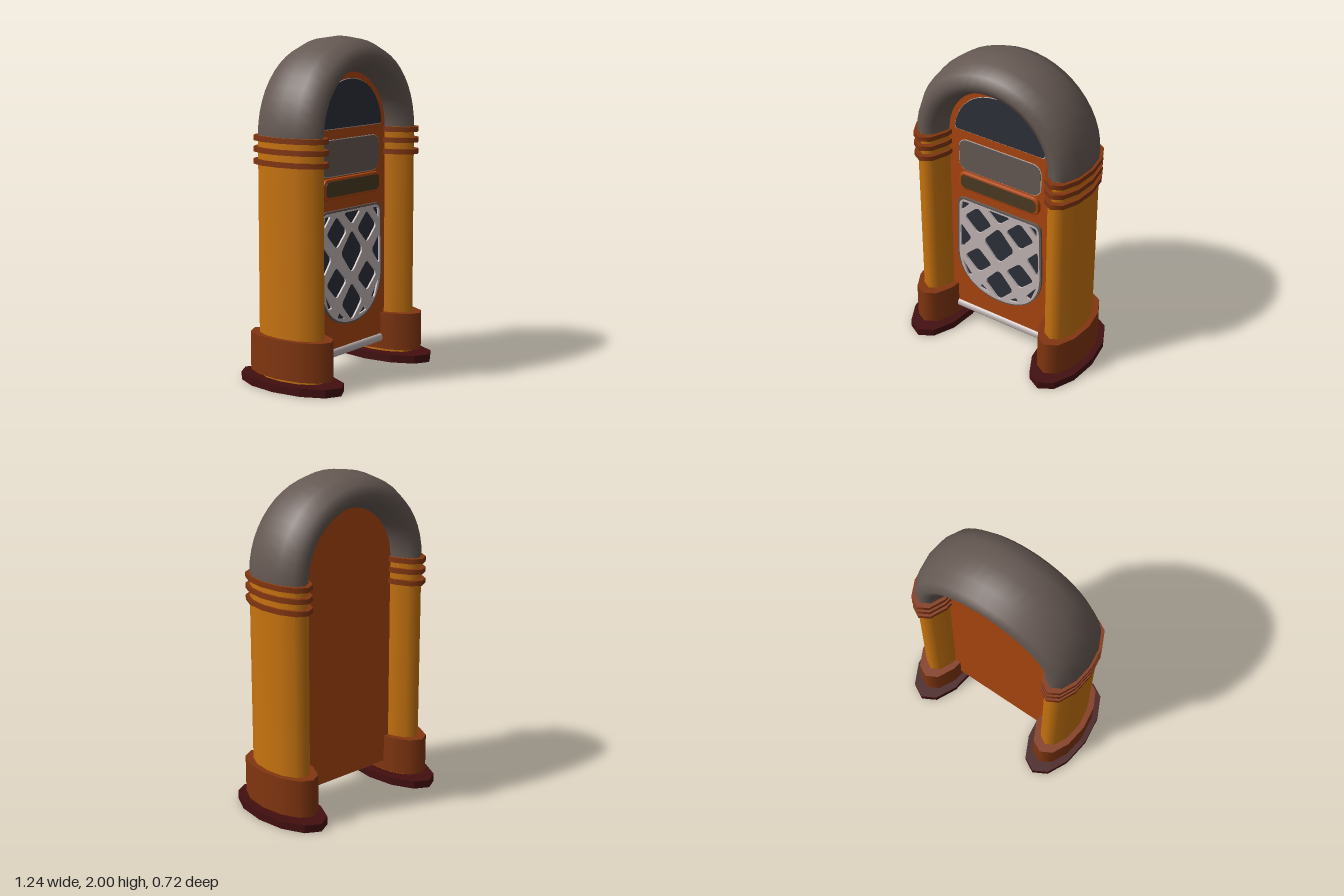
import * as THREE from 'three';
import { RoundedBoxGeometry } from 'three/addons/geometries/RoundedBoxGeometry.js';

const COL_X = 0.445, RX = 0.108, RZ = 0.227, SPRING = 1.45, FRONT = 0.085;

const mat = (name, color, side = THREE.FrontSide) => {
  const m = new THREE.MeshStandardMaterial({ color, side });
  m.name = name;
  return m;
};

function roundedRect(w, y0, y1, r) {
  const s = new THREE.Shape();
  s.moveTo(-w + r, y0);
  s.lineTo(w - r, y0);
  s.absarc(w - r, y0 + r, r, -Math.PI / 2, 0);
  s.absarc(w - r, y1 - r, r, 0, Math.PI / 2);
  s.absarc(-w + r, y1 - r, r, Math.PI / 2, Math.PI);
  s.absarc(-w + r, y0 + r, r, Math.PI, Math.PI * 1.5);
  return s;
}

// Half-round window, grown outward by g
function halfRound(g) {
  const s = new THREE.Shape(), w = 0.303 + g, y = 1.475 - g;
  s.moveTo(-w + 0.02, y);
  s.lineTo(w - 0.02, y);
  s.quadraticCurveTo(w, y, w, y + 0.025);
  s.bezierCurveTo(w - 0.03, 1.66, 0.16, 1.755 + g, 0, 1.755 + g);
  s.bezierCurveTo(-0.16, 1.755 + g, -w + 0.03, 1.66, -w, y + 0.025);
  s.quadraticCurveTo(-w, y, -w + 0.02, y);
  return s;
}

// Speaker outline: square shoulders, rounded bottom, shrunk inward by g
function shield(g, Type = THREE.Shape) {
  const s = new Type(), w = 0.302 - g, t = 0.997 - g, b = 0.298 + g, k = 0.05;
  s.moveTo(0, b);
  s.bezierCurveTo(0.17, b, w, 0.41, w, 0.6);
  s.lineTo(w - 0.01, t - k);
  s.quadraticCurveTo(w - 0.01, t, w - 0.01 - k, t);
  s.lineTo(-w + 0.01 + k, t);
  s.quadraticCurveTo(-w + 0.01, t, -w + 0.01, t - k);
  s.lineTo(-w, 0.6);
  s.bezierCurveTo(-w, 0.41, -0.17, b, 0, b);
  return s;
}

// Closed outline with softened corners
function softHole(pts, k = 0.22) {
  const v = pts.map(([x, y]) => new THREE.Vector2(x, y));
  const h = new THREE.Path(), n = v.length;
  v.forEach((p, i) => {
    const a = p.clone().lerp(v[(i + n - 1) % n], k), b = p.clone().lerp(v[(i + 1) % n], k);
    if (i) h.lineTo(a.x, a.y); else h.moveTo(a.x, a.y);
    h.quadraticCurveTo(p.x, p.y, b.x, b.y);
  });
  h.closePath();
  return h;
}

function ellipsePoints(rx, rz) {
  return Array.from({ length: 12 }, (_, i) => {
    const a = i * Math.PI / 6;
    return new THREE.Vector2(Math.cos(a) * rx, Math.sin(a) * rz);
  });
}

const extrude = (shape, depth, z, bevel = 0) => new THREE.ExtrudeGeometry(shape, {
  depth, curveSegments: 12, bevelEnabled: bevel > 0, bevelSize: bevel,
  bevelThickness: bevel, bevelOffset: -bevel, bevelSegments: 2,
}).translate(0, 0, z);

export function createModel() {
  const root = new THREE.Group();
  root.name = 'jukebox';
  const gold = mat('amber', 0xc8740f, THREE.DoubleSide);
  const rust = mat('rust brown', 0x823610);
  const orange = mat('burnt orange', 0xab4610);
  const maroon = mat('dark maroon', 0x430f10);
  const grey = mat('warm grey', 0x665953);
  const silver = mat('pale silver', 0xc2b6b6);
  const glass = mat('dark glass', 0x2d3039);
  const olive = mat('olive brown', 0x4a3b22);

  const add = (name, geo, material, parent = root) => {
    const m = new THREE.Mesh(geo, material);
    m.name = name;
    parent.add(m);
    return m;
  };

  // Oval column part between two heights
  const oval = (rx, rz, y0, y1, open = false) =>
    new THREE.CylinderGeometry(1, 1, y1 - y0, 12, 1, open)
      .scale(rx, 1, rz).translate(0, (y0 + y1) / 2, 0);

  // Columns with feet, base rings and collars
  for (const [side, sx] of [['left', 1], ['right', -1]]) {
    const g = new THREE.Group();
    g.name = side + 'Column';
    g.position.x = sx * COL_X;
    root.add(g);
    add('pillar', oval(RX, RZ, 0.02, SPRING, true), gold, g);

    const ring = new THREE.Shape(ellipsePoints(0.175, 0.36));
    ring.holes.push(new THREE.Path(ellipsePoints(RX, RZ).reverse()));
    add('basePlate', extrude(ring, 0.048, 0).rotateX(-Math.PI / 2), maroon, g);

    const foot = new THREE.Shape(ellipsePoints(0.143, 0.288));
    foot.holes.push(new THREE.Path(ellipsePoints(RX - 0.002, RZ - 0.004).reverse()));
    add('footCap', extrude(foot, 0.228, 0.071).rotateX(-Math.PI / 2), rust, g);
    add('footSleeve', oval(0.1435, 0.289, 0.07, 0.3, true), rust, g);
    add('innerFloor', oval(RX - 0.002, RZ - 0.004, 0.175, 0.185), orange, g);

    [1.3, 1.37, 1.435].forEach((y) =>
      add('collar', oval(0.123, 0.26, y - 0.016, y + 0.014), rust, g));
  }

  // Rounded top arch
  add('topArch', new THREE.TorusGeometry(COL_X, RX, 12, 24, Math.PI)
    .scale(1, 1, RZ / RX).translate(0, SPRING, 0), grey);

  // Cabinet body with arched top
  const body = new THREE.Shape();
  body.moveTo(-0.35, 0.13);
  body.lineTo(0.35, 0.13);
  body.lineTo(0.35, SPRING);
  body.absarc(0, SPRING, 0.35, 0, Math.PI);
  add('cabinet', extrude(body, FRONT * 2, -FRONT), orange);

  // Bottom rail
  add('bottomRail', new RoundedBoxGeometry(0.88, 0.055, 0.18, 3, 0.025)
    .translate(0, 0.142, 0.01), silver);

  // Upper window and display, each with a fine trim
  add('windowTrim', extrude(halfRound(0.004), 0.003, FRONT), silver);
  add('window', extrude(halfRound(0), 0.006, FRONT), glass);
  add('displayTrim', extrude(roundedRect(0.283, 1.195, 1.412, 0.06), 0.003, FRONT), silver);
  add('display', extrude(roundedRect(0.279, 1.199, 1.408, 0.057), 0.006, FRONT), grey);

  // Selector slot in a raised frame
  add('slotFrame', extrude(roundedRect(0.278, 1.065, 1.188, 0.045), 0.012, FRONT, 0.01), orange);
  add('slot', extrude(roundedRect(0.258, 1.082, 1.172, 0.03), 0.004, FRONT + 0.021), olive);

  // Speaker: rim, dark backing and lattice
  const rim = shield(0);
  rim.holes.push(shield(0.014, THREE.Path));
  add('speakerRim', extrude(rim, 0.014, FRONT), grey);
  add('speakerBacking', extrude(shield(0.006), 0.004, FRONT), glass);

  const lattice = shield(0.012);
  const diamond = (x, y, w, h) => [[x, y - h], [x + w, y], [x, y + h], [x - w, y]];
  const holes = [
    diamond(0, 0.735, 0.112, 0.135),
    [[0, 0.312], [0.105, 0.425], [0, 0.55], [-0.105, 0.425]],
    [[-0.085, 0.975], [0, 0.895], [0.085, 0.975]],
  ];
  for (const s of [-1, 1]) {
    holes.push(
      diamond(s * 0.148, 0.865, 0.1, 0.1),
      diamond(s * 0.15, 0.565, 0.1, 0.098),
      [[s * 0.278, 0.61], [s * 0.195, 0.715], [s * 0.276, 0.805]],
      [[s * 0.268, 0.9], [s * 0.205, 0.972], [s * 0.262, 0.968]],
      [[s * 0.27, 0.53], [s * 0.192, 0.425], [s * 0.228, 0.415]],
      [[s * 0.065, 0.335], [s * 0.125, 0.385], [s * 0.142, 0.352]],
    );
  }
  lattice.holes = holes.map((p) => softHole(p));
  add('speakerLattice', extrude(lattice, 0.016, FRONT), silver);
  return root;
}
